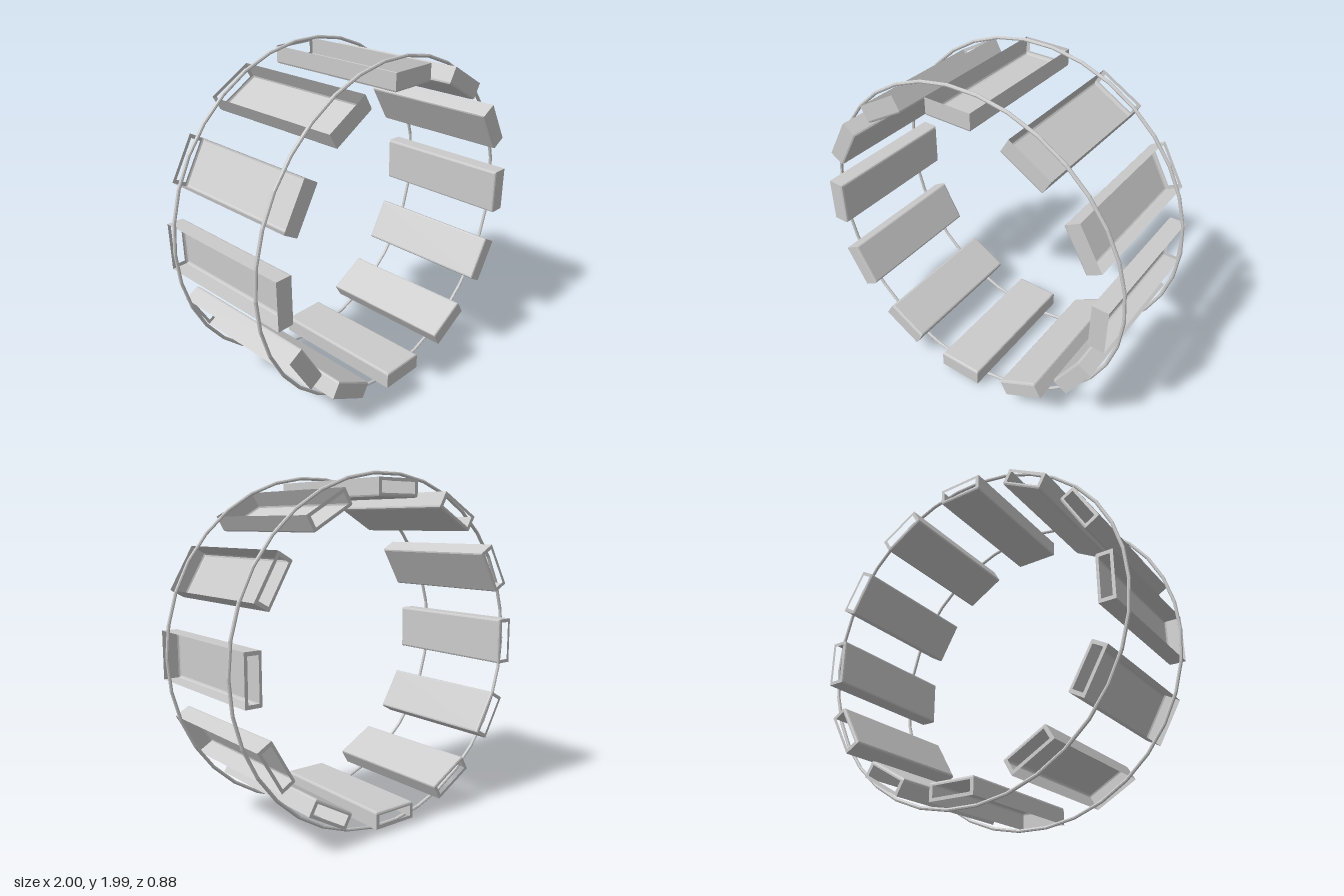
import * as THREE from 'three';

const CENTRE_Y = 0.997;
const material = new THREE.MeshStandardMaterial({
  color: 0xcccccc, flatShading: true, side: THREE.DoubleSide,
});

// Tray in local axes: x across, y away from the wheel's axis, z along the axis
const HALF_W = 0.138, HALF_L = 0.438, RIM = 0.958, FLOOR = 0.857, BEVEL = 0.012;

// Rectangular loop of corners; the first edge lies at the back
function loop(inset, y) {
  const w = HALF_W - inset, l = HALF_L - inset;
  return [[-w, y, -l], [w, y, -l], [w, y, l], [-w, y, l]];
}

// Thin open tray: three closed walls, bevelled floor edges and a floor
function trayShell() {
  const rim = loop(0, RIM), low = loop(0, FLOOR + BEVEL);
  const mid = loop(BEVEL * 0.3, FLOOR + BEVEL * 0.3), floor = loop(BEVEL, FLOOR);
  const pos = [];
  const quad = (a, b, c, d) => pos.push(...a, ...b, ...c, ...a, ...c, ...d);
  [[rim, low], [low, mid], [mid, floor]].forEach(([up, down], level) => {
    for (let i = 0; i < 4; i++) {
      if (level === 0 && i === 0) continue; // slotted back wall is separate
      const j = (i + 1) % 4;
      quad(up[i], up[j], down[j], down[i]);
    }
  });
  quad(...floor);
  const geo = new THREE.BufferGeometry();
  geo.setAttribute('position', new THREE.Float32BufferAttribute(pos, 3));
  geo.computeVertexNormals();
  return geo;
}

// Back wall with a rectangular slot
function slottedWall() {
  const rect = (Type, w, y0, y1) => {
    const r = new Type();
    r.moveTo(-w, y0);
    r.lineTo(w, y0);
    r.lineTo(w, y1);
    r.lineTo(-w, y1);
    r.closePath();
    return r;
  };
  const wall = rect(THREE.Shape, HALF_W, FLOOR + BEVEL, RIM);
  wall.holes.push(rect(THREE.Path, HALF_W - 0.021, FLOOR + 0.021, RIM - 0.018));
  return new THREE.ShapeGeometry(wall).rotateY(Math.PI).translate(0, 0, -HALF_L);
}

export function createModel() {
  const group = new THREE.Group();
  group.name = 'trayWheel';

  // Two thin hoops
  const hoopGeo = new THREE.TorusGeometry(0.99, 0.01, 8, 34);
  for (const [name, z] of [['frontHoop', 0.318], ['backHoop', -0.345]]) {
    const hoop = new THREE.Mesh(hoopGeo, material);
    hoop.name = name;
    hoop.position.set(0, CENTRE_Y, z);
    group.add(hoop);
  }

  // Twelve trays, open side outward
  const shellGeo = trayShell(), wallGeo = slottedWall();
  for (let i = 0; i < 12; i++) {
    const tray = new THREE.Group();
    tray.name = `tray${i + 1}`;
    const shell = new THREE.Mesh(shellGeo, material);
    shell.name = 'trayShell';
    const wall = new THREE.Mesh(wallGeo, material);
    wall.name = 'slottedBackWall';
    tray.add(shell, wall);
    tray.position.y = CENTRE_Y;
    tray.rotation.z = (i * Math.PI) / 6;
    group.add(tray);
  }
  return group;
}
